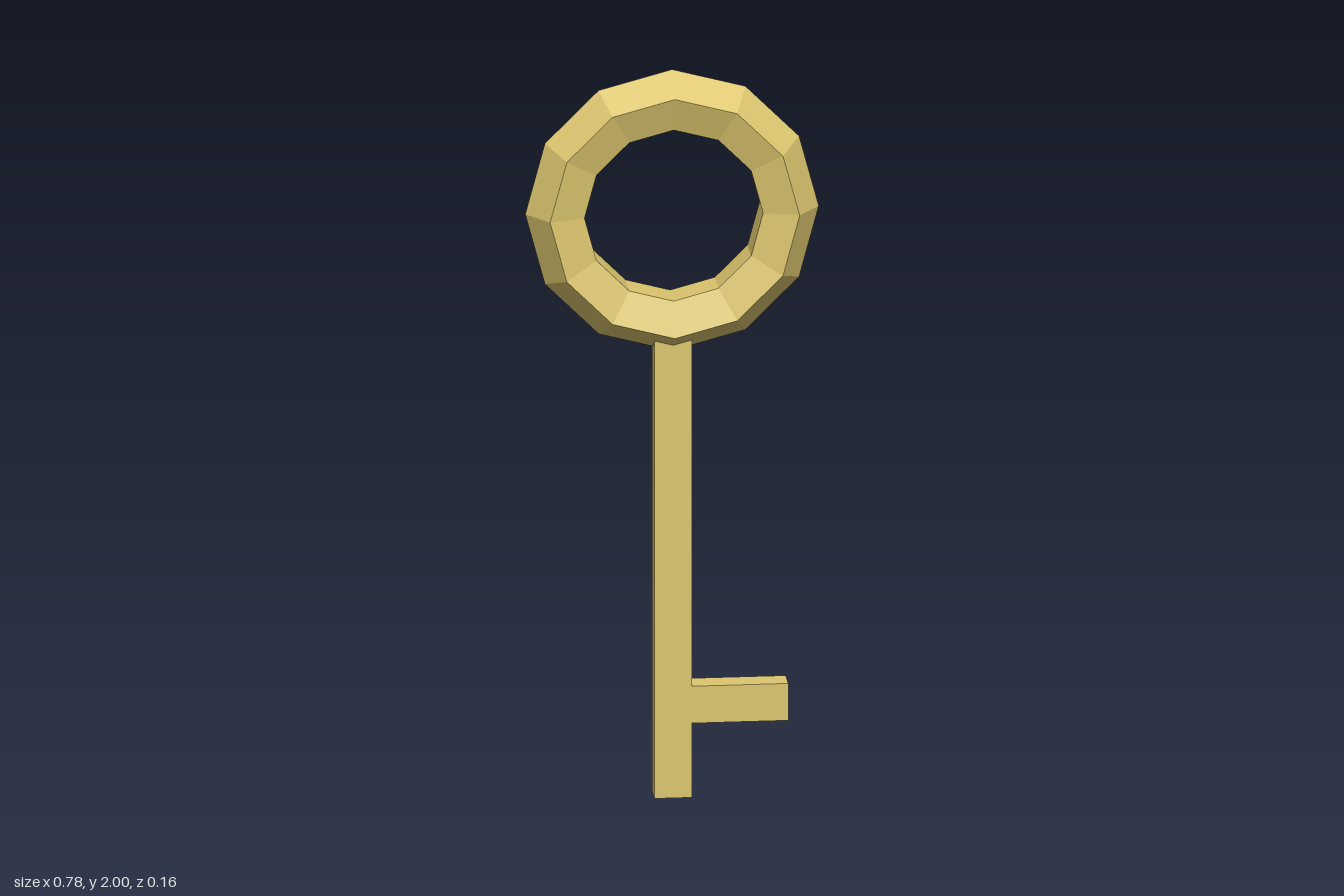
import * as THREE from 'three';

export function createModel() {
  const key = new THREE.Group();
  key.name = 'key';
  const brass = new THREE.MeshStandardMaterial({ color: 0xdcc66e, flatShading: true });
  brass.name = 'brass';

  const add = (name, geometry, x, y) => {
    const mesh = new THREE.Mesh(geometry, brass);
    mesh.name = name;
    mesh.position.set(x, y, 0);
    key.add(mesh);
  };
  const depth = 0.07;

  // Ring handle: twelve segments with a five-sided section, point outward
  const ringRadius = 0.304, tube = 0.084;
  add('ringHandle', new THREE.TorusGeometry(ringRadius, tube, 5, 12), 0, 2 - ringRadius - tube);

  // Shaft, its top end sunk into the ring
  const shaftTop = 1.3;
  add('shaft', new THREE.BoxGeometry(0.1, shaftTop, depth), 0, shaftTop / 2);

  // Single tooth, flush with the shaft faces
  add('tooth', new THREE.BoxGeometry(0.254, 0.102, depth), 0.177, 0.256);

  return key;
}
